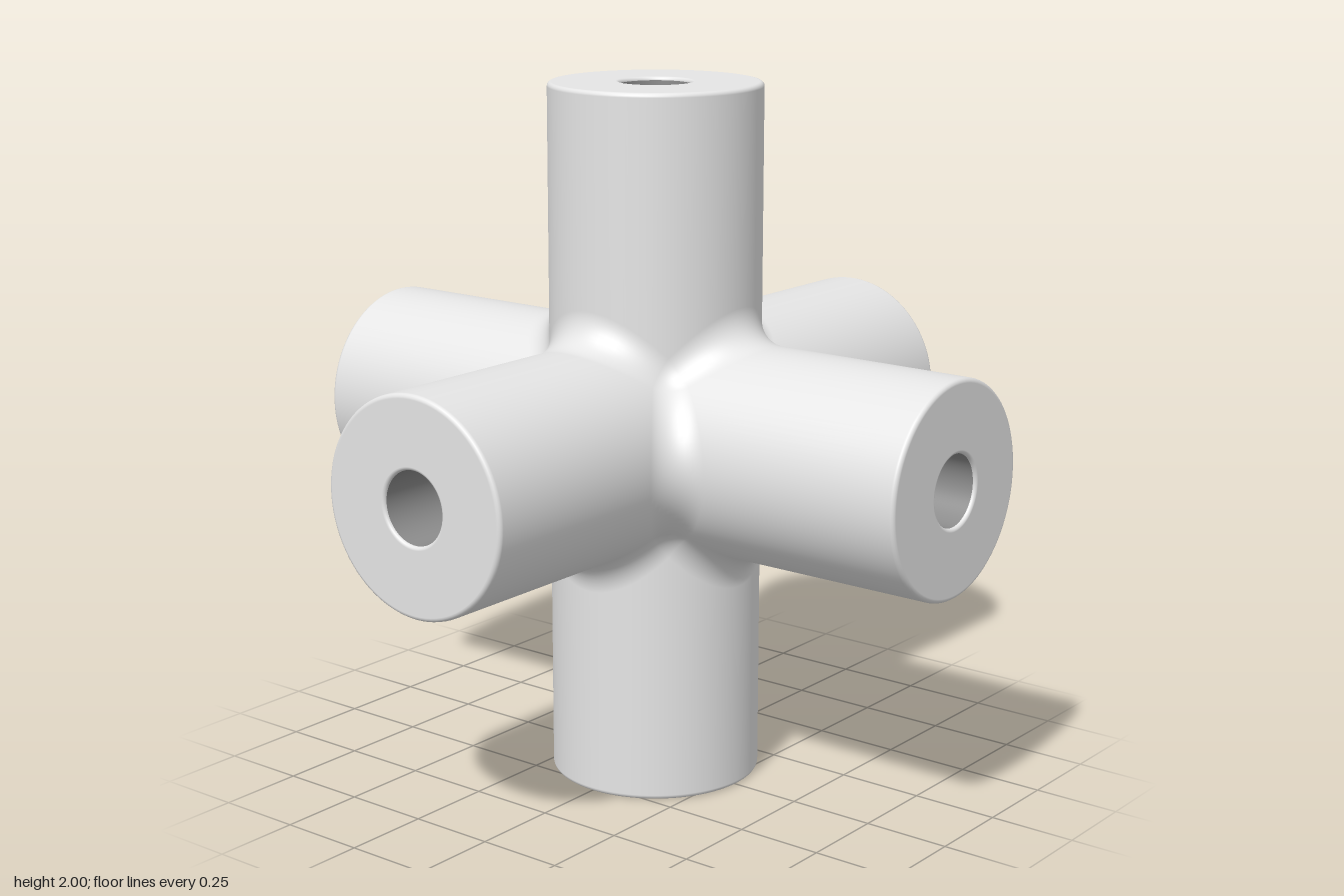
import * as THREE from 'three';

const ARM = 0.3, BORE = 0.1, FILLET = 0.1, LENGTH = 1;
const BALL = ARM + FILLET; // distance of a fillet's centre from each arm's axis
const RIM = 0.01, EDGE = 0.013; // rounding at the bore's mouth and at the arm's outer edge

// Smooth grid surface; f(i, j) gives [position, normal], triangles face along the normals.
function grid(rows, cols, f) {
  const points = [], normals = [], index = [];
  for (let i = 0; i <= rows; i++) {
    for (let j = 0; j <= cols; j++) {
      const [p, n] = f(i, j);
      points.push(p);
      normals.push(n);
    }
  }
  const face = new THREE.Triangle(), dir = new THREE.Vector3();
  const add = (a, b, c) => {
    face.set(points[a], points[b], points[c]);
    if (face.getArea() < 1e-10) return;
    face.getNormal(dir);
    const d = dir.dot(normals[a]) + dir.dot(normals[b]) + dir.dot(normals[c]);
    if (d > 0) index.push(a, b, c);
    else index.push(a, c, b);
  };
  for (let i = 0; i < rows; i++) {
    for (let j = 0; j < cols; j++) {
      const a = i * (cols + 1) + j, b = a + cols + 1;
      add(a, b, b + 1);
      add(a, b + 1, a + 1);
    }
  }
  const flat = (list) => new THREE.Float32BufferAttribute(list.flatMap((v) => v.toArray()), 3);
  const geometry = new THREE.BufferGeometry();
  geometry.setAttribute('position', flat(points));
  geometry.setAttribute('normal', flat(normals));
  geometry.setIndex(index);
  return geometry;
}

// Point on the great circle between unit vectors a and b.
function slerp(a, b, t) {
  const w = a.angleTo(b);
  if (w < 1e-6) return a.clone();
  return a.clone().multiplyScalar(Math.sin((1 - t) * w) / Math.sin(w))
    .addScaledVector(b, Math.sin(t * w) / Math.sin(w));
}

// Turns a profile of [x, radius, normal x, normal radius] about the x axis.
// Where x is null, the rim follows the curve on which it meets the crossing arms.
function revolve(profile, crossing) {
  return grid(profile.length - 1, 96, (i, j) => {
    const [x, r, nx, nr] = profile[i];
    const a = j / 96 * Math.PI * 2, c = Math.cos(a), s = Math.sin(a);
    const reach = crossing * Math.max(Math.abs(c), Math.abs(s));
    return [new THREE.Vector3(x ?? reach, r * c, r * s), new THREE.Vector3(nx, nr * c, nr * s)];
  });
}

// Arm along +x: bore mouth, flat end, rounded edge and outer wall.
function armGeometry() {
  const profile = [];
  const round = (cx, cr, radius, from) => {
    for (let k = 0; k <= 4; k++) {
      const a = from + Math.PI / 8 * k;
      const nx = Math.cos(a), nr = Math.sin(a);
      profile.push([cx + radius * nx, cr + radius * nr, nx, nr]);
    }
  };
  round(LENGTH - RIM, BORE + RIM, RIM, -Math.PI / 2);
  round(LENGTH - EDGE, ARM - EDGE, EDGE, 0);
  profile.push([null, ARM, 0, 1]);
  return revolve(profile, BALL);
}

// Rolling-ball fillet between the +x and +y arms; its normals point at the ball's centre.
function filletGeometry() {
  return grid(24, 12, (i, j) => {
    const a = (i / 24 - 0.5) * Math.PI / 2, c = Math.cos(a), s = Math.sin(a);
    const centre = new THREE.Vector3(c, c, s).multiplyScalar(BALL);
    const d = slerp(new THREE.Vector3(0, c, s), new THREE.Vector3(c, 0, s), j / 12);
    return [centre.addScaledVector(d, -FILLET), d];
  });
}

// Hollow spherical triangle where three fillets meet.
function cornerGeometry() {
  const h = Math.SQRT1_2;
  const a = new THREE.Vector3(0, h, h), b = new THREE.Vector3(h, 0, h), c = new THREE.Vector3(h, h, 0);
  return grid(12, 12, (i, j) => {
    const d = slerp(slerp(a, b, i / 12), c, j / 12);
    const centre = new THREE.Vector3(h, h, h).multiplyScalar(BALL);
    return [centre.addScaledVector(d, -FILLET), d];
  });
}

export function createModel() {
  const group = new THREE.Group();
  group.name = 'sixWayConnector';
  const light = new THREE.MeshStandardMaterial({ color: 0xe5e5e5 });
  light.name = 'lightGrey';
  const dark = new THREE.MeshStandardMaterial({ color: 0x8c8c8c });
  dark.name = 'darkGrey';

  const turn = (x, y, z, angle) =>
    new THREE.Quaternion().setFromAxisAngle(new THREE.Vector3(x, y, z).normalize(), angle);
  const add = (name, geometry, rotation, material = light) => {
    const mesh = new THREE.Mesh(geometry, material);
    mesh.name = name;
    mesh.quaternion.copy(rotation);
    mesh.position.y = LENGTH;
    group.add(mesh);
  };
  const quarter = Math.PI / 2;

  // Six arms, each with a darker bore
  const arm = armGeometry();
  const bore = revolve([[null, BORE, 0, -1], [LENGTH - RIM, BORE, 0, -1]], BORE);
  const directions = {
    left: turn(0, 1, 0, 0),
    right: turn(0, 1, 0, Math.PI),
    front: turn(0, 1, 0, -quarter),
    back: turn(0, 1, 0, quarter),
    top: turn(0, 0, 1, quarter),
    bottom: turn(0, 0, 1, -quarter),
  };
  for (const [side, rotation] of Object.entries(directions)) {
    add(`${side}Arm`, arm, rotation);
    add(`${side}Bore`, bore, rotation, dark);
  }

  // Twelve fillets: four around each axis
  const fillet = filletGeometry();
  for (let axis = 0; axis < 3; axis++) {
    for (let k = 0; k < 4; k++) {
      add('fillet', fillet, turn(1, 1, 1, axis * Math.PI * 2 / 3).multiply(turn(0, 0, 1, k * quarter)));
    }
  }

  // Eight corners: four above, four below
  const corner = cornerGeometry();
  for (let k = 0; k < 4; k++) {
    add('upperCorner', corner, turn(0, 1, 0, k * quarter));
    add('lowerCorner', corner, turn(0, 1, 0, k * quarter).multiply(turn(1, 0, 0, Math.PI)));
  }
  return group;
}
